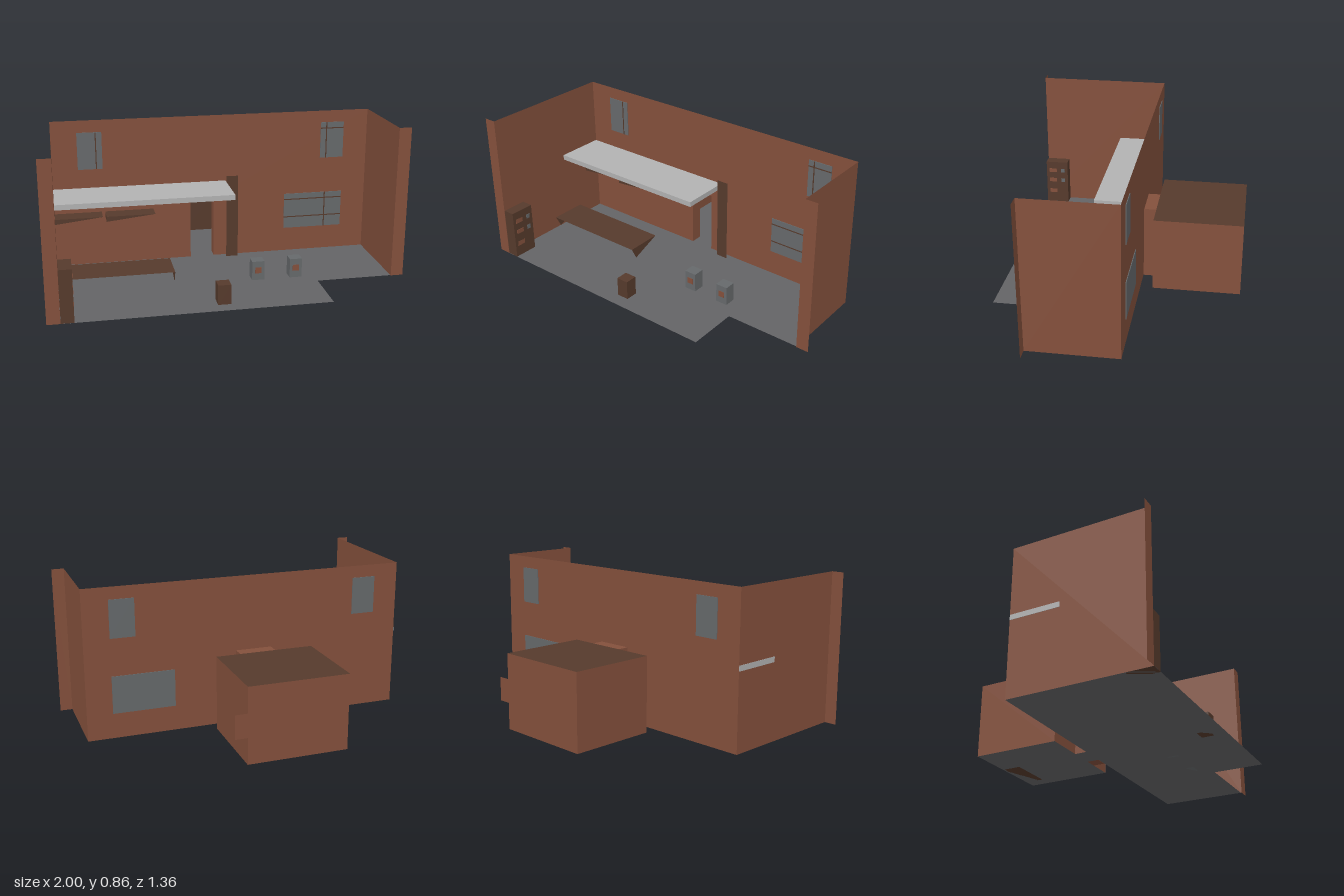
import * as THREE from 'three';

const material = (name, color) => {
  const m = new THREE.MeshStandardMaterial({ color, side: THREE.DoubleSide });
  m.name = name;
  return m;
};

export function createModel() {
  const brick = material('brick brown', 0x84503c);
  const wood = material('dark wood', 0x563a2c);
  const floorGrey = material('floor grey', 0x646466);
  const glass = material('window grey', 0x66696b);
  const pale = material('pale grey', 0xb2b2b2);
  const model = new THREE.Group();

  const add = (name, geometry, mat, parent = model) => {
    const mesh = new THREE.Mesh(geometry, mat);
    mesh.name = name;
    parent.add(mesh);
    return mesh;
  };
  // Solid block given by its limits on each axis
  const block = (name, mat, [x0, x1], [y0, y1], [z0, z1], parent) =>
    add(name, new THREE.BoxGeometry(x1 - x0, y1 - y0, z1 - z0)
      .translate((x0 + x1) / 2, (y0 + y1) / 2, (z0 + z1) / 2), mat, parent);
  // Thin sheets from outlines
  const outline = (points) => new THREE.ShapeGeometry(new THREE.Shape(points.map(([a, b]) => new THREE.Vector2(a, b))));
  const rect = ([a0, a1], [b0, b1]) => [[a0, b0], [a1, b0], [a1, b1], [a0, b1]];
  const facing = (name, mat, points, z, parent) => add(name, outline(points).translate(0, 0, z), mat, parent);
  const sideways = (name, mat, points, x, parent) => // points are [z, y]
    add(name, outline(points.map(([z, y]) => [-z, y])).rotateY(Math.PI / 2).translate(x, 0, 0), mat, parent);
  const level = (name, mat, points, y, parent) => // points are [x, z]
    add(name, outline(points.map(([x, z]) => [x, -z])).rotateX(-Math.PI / 2).translate(0, y, 0), mat, parent);
  // Wall outline with the doorway cut from its lower edge
  const doorWall = (x0, x1, top) => [
    [x0, 0], [-0.14, 0], [-0.14, 0.36], [0, 0.36], [0, 0], [x1, 0], [x1, top], [x0, top]];

  // Main hall: floor, walls and front returns
  level('hallFloor', floorGrey, [[-0.93, -0.11], [0.93, -0.11], [0.93, 0.39], [0.5, 0.39], [0.5, 0.68], [-0.93, 0.68]], 0);
  facing('backWall', brick, doorWall(-0.93, 0.93, 0.86), -0.11);
  sideways('rightWall', brick, rect([-0.11, 0.68], [0, 0.86]), -0.93);
  sideways('leftWall', brick, rect([-0.11, 0.395], [0, 0.86]), 0.93);
  facing('rightReturn', brick, rect([-1, -0.93], [0, 0.86]), 0.68);
  facing('leftReturn', brick, rect([0.93, 1], [0, 0.86]), 0.395);

  // Passage to the back room
  block('passageLintel', brick, [-0.14, 0.07], [0.36, 0.43], [-0.18, -0.111]);
  block('passageJamb', brick, [0, 0.07], [0, 0.36], [-0.18, -0.111]);
  sideways('passageWall', brick, rect([-0.18, -0.11], [0, 0.36]), -0.14);
  level('passageFloor', floorGrey, rect([-0.14, 0], [-0.18, -0.11]), 0);

  // Back room
  const room = new THREE.Group();
  room.name = 'backRoom';
  model.add(room);
  level('roomFloor', floorGrey, rect([-0.36, 0.21], [-0.68, -0.18]), 0, room);
  level('roomRoof', wood, rect([-0.36, 0.21], [-0.68, -0.18]), 0.43, room);
  facing('roomBackWall', brick, rect([-0.36, 0.21], [0, 0.43]), -0.68, room);
  facing('roomFrontWall', brick, doorWall(-0.36, 0.21, 0.43), -0.181, room);
  for (const x of [-0.36, 0.21]) sideways('roomSideWall', brick, rect([-0.68, -0.18], [0, 0.43]), x, room);
  facing('roomBackPanel', brick, rect([0.21, 0.28], [0.15, 0.285]), -0.68, room);
  block('roomCabinet', wood, [-0.11, 0.14], [0, 0.29], [-0.67, -0.57], room);

  // Windows, visible from both sides, with thin bars inside
  const windows = [
    { x: [-0.785, -0.645], y: [0.575, 0.79], bars: [], post: -0.68 },
    { x: [0.645, 0.785], y: [0.575, 0.79], bars: [0.755], post: 0.68 },
    { x: [0.43, 0.785], y: [0.145, 0.36], bars: [0.325, 0.215], post: 0.68 },
  ];
  for (const { x, y, bars, post } of windows) {
    block('windowPane', glass, x, y, [-0.114, -0.106]);
    block('windowPost', wood, [post - 0.003, post + 0.003], y, [-0.106, -0.104]);
    for (const b of bars) block('windowBar', wood, x, [b - 0.003, b + 0.003], [-0.106, -0.104]);
  }

  // Canopy and its flat post
  block('canopy', pale, [-0.932, 0.07], [0.435, 0.465], [-0.109, 0.18]);
  facing('canopyPost', wood, rect([0.07, 0.14], [0, 0.5]), -0.075);

  // Wedge shelves under the canopy
  for (const [x0, x1] of [[-0.929, -0.66], [-0.64, -0.36]]) {
    const wedge = new THREE.Shape([[x0, 0.29], [x1, 0.32], [x0, 0.32]].map(([x, y]) => new THREE.Vector2(x, y)));
    add('wedgeShelf', new THREE.ExtrudeGeometry(wedge, { depth: 0.1, bevelEnabled: false }).translate(0, 0, -0.1), wood);
  }

  // Low bench with pointed end supports
  level('benchTop', wood, rect([-0.93, -0.29], [0.07, 0.285]), 0.07);
  for (const x of [-0.928, -0.29]) sideways('benchSupport', wood, [[0.07, 0.07], [0.285, 0.07], [0.25, 0]], x);

  // Bookcase with painted rows on its open face
  block('bookcase', wood, [-0.929, -0.86], [0, 0.29], [0.535, 0.679]);
  for (const y of [0.08, 0.16, 0.23]) {
    block('brownBooks', brick, [-0.861, -0.858], [y - 0.013, y + 0.013], [0.61, 0.66]);
    if (y > 0.1) block('greyBooks', glass, [-0.861, -0.858], [y - 0.013, y + 0.013], [0.555, 0.58]);
  }

  // Small standing boxes
  block('woodStool', wood, [-0.11, -0.04], [0, 0.11], [0.535, 0.605]);
  for (const x of [0.175, 0.392]) {
    block('greyStool', glass, [x - 0.035, x + 0.035], [0, 0.11], [0.25, 0.315]);
    block('stoolPatch', brick, [x - 0.018, x + 0.018], [0.04, 0.075], [0.314, 0.317]);
  }

  return model;
}
